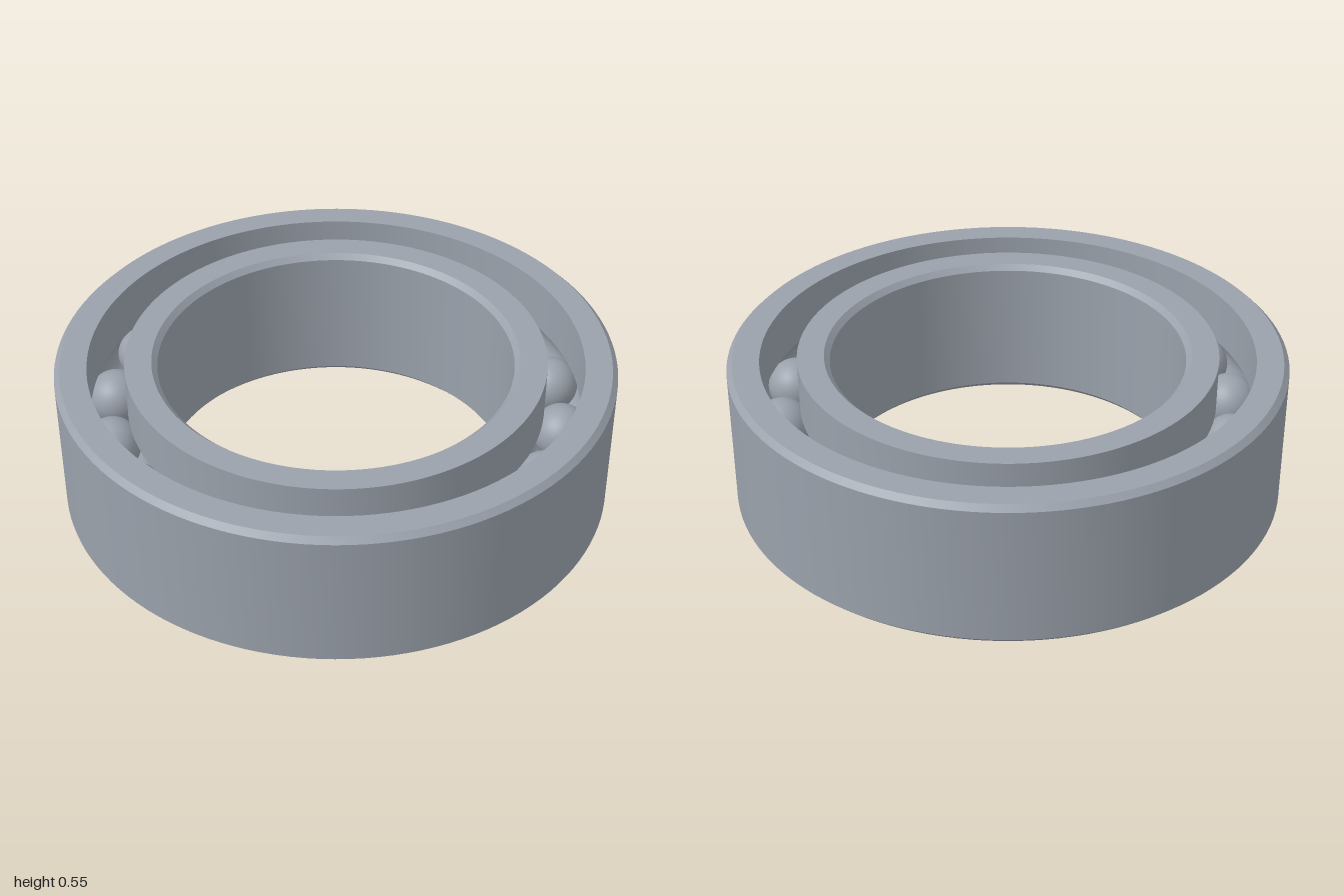
import * as THREE from 'three';
import { toCreasedNormals } from 'three/addons/utils/BufferGeometryUtils.js';

const HEIGHT = 0.545, MID = HEIGHT / 2, CHAMFER = 0.02;
const PITCH = 0.818, BALL = 0.102, BALL_COUNT = 18;

// Points of the ball groove cut into a cylindrical wall of the given radius
function groove(wallRadius, goingUp) {
  const r = BALL + 0.001;
  const side = Math.sign(wallRadius - PITCH);
  const half = Math.acos(Math.abs(wallRadius - PITCH) / r);
  const points = [];
  for (let i = 0; i <= 10; i++) {
    const a = (goingUp ? 1 : -1) * half * (i / 5 - 1);
    points.push([PITCH + side * r * Math.cos(a), MID + r * Math.sin(a)]);
  }
  return points;
}

// Revolve a closed cross-section, keeping its corners sharp
function ring(name, profile, material) {
  const points = [...profile, profile[0]].map(([x, y]) => new THREE.Vector2(x, y));
  const geometry = toCreasedNormals(new THREE.LatheGeometry(points, 128), Math.PI / 6);
  const mesh = new THREE.Mesh(geometry, material);
  mesh.name = name;
  return mesh;
}

export function createModel() {
  const model = new THREE.Group();
  model.name = 'ballBearing';
  const steel = new THREE.MeshStandardMaterial({ color: 0x9aa1ab });
  steel.name = 'steel';

  // Outer ring: chamfered outside edges, groove on the inner wall
  model.add(ring('outerRing', [
    [1 - CHAMFER, 0], [1, CHAMFER], [1, HEIGHT - CHAMFER], [1 - CHAMFER, HEIGHT],
    [0.884, HEIGHT], ...groove(0.884, false), [0.884, 0],
  ], steel));

  // Inner ring: groove on the outer wall, chamfered bore
  const bore = 0.636;
  model.add(ring('innerRing', [
    [0.752, 0], ...groove(0.752, true), [0.752, HEIGHT],
    [bore + CHAMFER, HEIGHT], [bore, HEIGHT - CHAMFER], [bore, CHAMFER], [bore + CHAMFER, 0],
  ], steel));

  // Balls evenly spaced between the rings
  const balls = new THREE.Group();
  balls.name = 'balls';
  const ballGeometry = new THREE.SphereGeometry(BALL, 32, 20);
  for (let i = 0; i < BALL_COUNT; i++) {
    const a = THREE.MathUtils.degToRad(2) + (i / BALL_COUNT) * Math.PI * 2;
    const ball = new THREE.Mesh(ballGeometry, steel);
    ball.name = 'ball';
    ball.position.set(PITCH * Math.sin(a), MID, -PITCH * Math.cos(a));
    balls.add(ball);
  }
  model.add(balls);
  return model;
}
